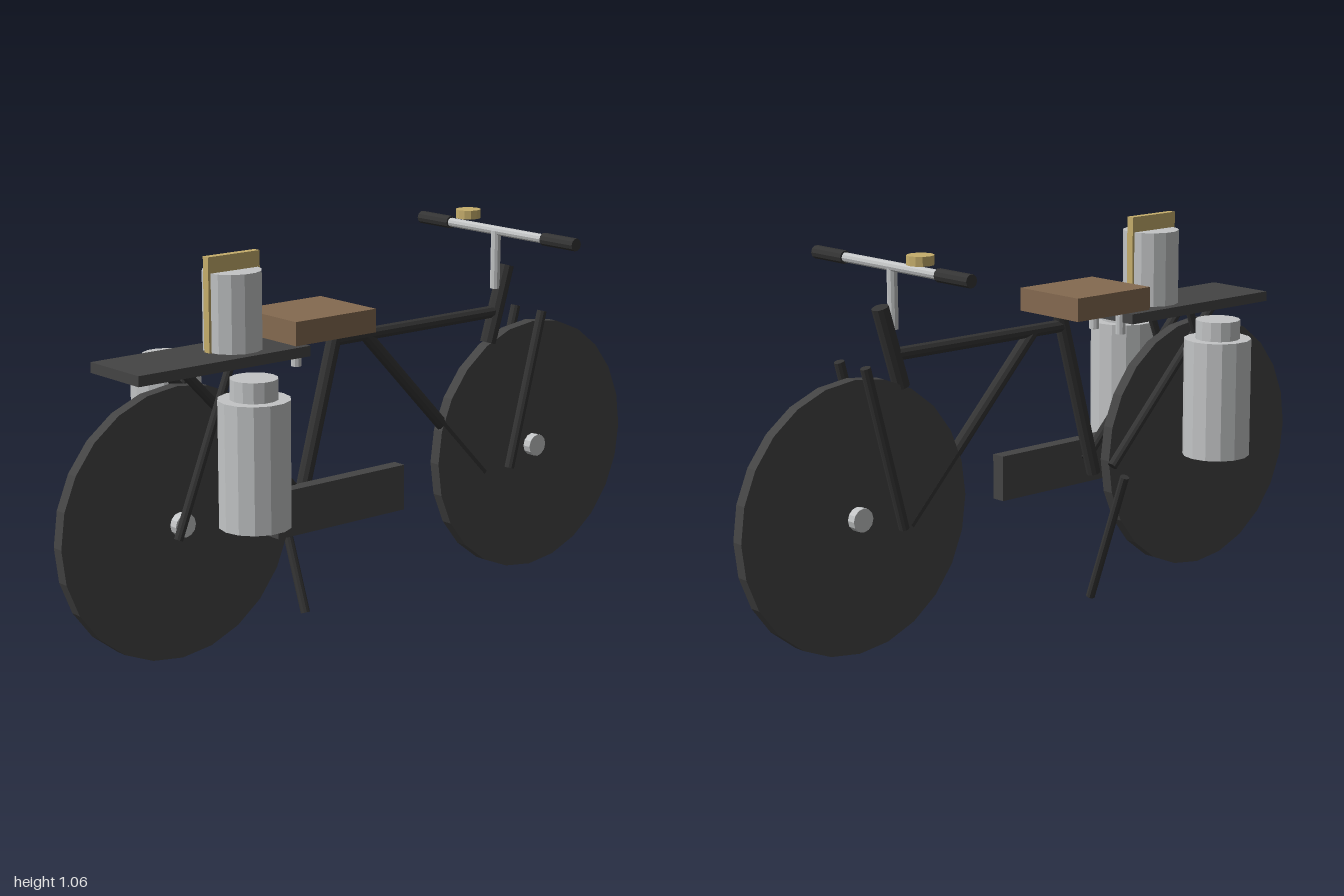
import * as THREE from 'three';

export function createModel() {
  const model = new THREE.Group();
  model.name = 'cargoBicycle';

  const material = (name, color) => {
    const m = new THREE.MeshStandardMaterial({ color, flatShading: true });
    m.name = name;
    return m;
  };
  const charcoal = material('charcoal', 0x444444);
  const frameBlack = material('frame black', 0x343434);
  const steel = material('steel', 0xc3c5c6);
  const leather = material('leather brown', 0x856a50);
  const brass = material('brass', 0xc6ae6c);

  const add = (name, geometry, mat) => {
    const mesh = new THREE.Mesh(geometry, mat);
    mesh.name = name;
    model.add(mesh);
    return mesh;
  };

  // Box given by its lower and upper corners
  const box = (name, lo, hi, mat) =>
    add(name, new THREE.BoxGeometry(hi[0] - lo[0], hi[1] - lo[1], hi[2] - lo[2]), mat)
      .position.set((lo[0] + hi[0]) / 2, (lo[1] + hi[1]) / 2, (lo[2] + hi[2]) / 2);

  // Straight round bar between two points
  const bar = (name, from, to, radius, mat, sides = 10) => {
    const a = new THREE.Vector3(...from);
    const b = new THREE.Vector3(...to);
    const mesh = add(name, new THREE.CylinderGeometry(radius, radius, a.distanceTo(b), sides), mat);
    mesh.position.copy(a).add(b).multiplyScalar(0.5);
    mesh.quaternion.setFromUnitVectors(new THREE.Vector3(0, 1, 0), b.sub(a).normalize());
  };

  // Solid wheels with protruding hubs
  for (const [name, z] of [['rear', 0.635], ['front', -0.632]]) {
    bar(name + 'Wheel', [-0.017, 0.373, z], [0.017, 0.373, z], 0.366, charcoal, 24);
    bar(name + 'Hub', [-0.042, 0.373, z], [0.042, 0.373, z], 0.032, steel, 12);
  }

  // Main frame tubes
  bar('topTube', [0, 0.783, 0.11], [0, 0.783, -0.49], 0.018, frameBlack);
  bar('seatTube', [0, 0.82, 0.093], [0, 0.345, 0.225], 0.02, frameBlack);
  bar('downTube', [0, 0.785, -0.005], [0, 0.318, -0.45], 0.018, frameBlack);
  bar('headTube', [0, 0.912, -0.535], [0, 0.695, -0.468], 0.023, frameBlack);

  // Paired fork blades, stays and saddle posts
  for (const [side, s] of [['left', 1], ['right', -1]]) {
    bar(side + 'ForkBlade', [s * 0.054, 0.775, -0.628], [s * 0.054, 0.33, -0.508], 0.014, frameBlack);
    bar(side + 'RearStay', [s * 0.084, 0.78, 0.52], [s * 0.084, 0.355, 0.69], 0.012, frameBlack);
    bar(side + 'DiagonalStay', [s * 0.055, 0.78, 0.64], [s * 0.055, 0.37, 0.245], 0.014, frameBlack);
    bar(side + 'SaddlePost', [s * 0.053, 0.745, 0.275], [s * 0.053, 0.82, 0.275], 0.014, steel);
  }

  // Handlebar, grips and bell
  bar('stem', [0, 0.85, -0.492], [0, 1.015, -0.494], 0.014, steel);
  bar('handlebar', [-0.2, 1.015, -0.496], [0.2, 1.015, -0.496], 0.013, steel);
  for (const [side, s] of [['left', 1], ['right', -1]]) {
    bar(side + 'Grip', [s * 0.19, 1.015, -0.496], [s * 0.315, 1.015, -0.496], 0.018, frameBlack);
  }
  bar('bell', [-0.127, 1.035, -0.504], [-0.127, 1.06, -0.504], 0.036, brass, 12);

  // Saddle, rear rack, chain case and kickstand
  box('saddle', [-0.116, 0.815, 0.053], [0.116, 0.879, 0.326], leather);
  box('rack', [-0.105, 0.779, 0.27], [0.105, 0.807, 0.817], charcoal);
  box('chainCase', [0.064, 0.3, -0.06], [0.104, 0.427, 0.38], charcoal);
  bar('kickstand', [-0.192, 0.38, 0.16], [-0.058, 0.008, 0.16], 0.013, frameBlack);

  // Canister on the rack with its brass strap
  bar('rackCanister', [0, 0.807, 0.444], [0, 1.015, 0.444], 0.079, steel, 14);
  box('canisterStrap', [-0.011, 0.807, 0.361], [0.011, 1.058, 0.528], brass);

  // Milk cans hung on both sides
  for (const [side, s] of [['left', 1], ['right', -1]]) {
    bar(side + 'MilkCan', [s * 0.19, 0.385, 0.523], [s * 0.19, 0.72, 0.523], 0.095, steel, 14);
    bar(side + 'MilkCanNeck', [s * 0.19, 0.72, 0.523], [s * 0.19, 0.774, 0.523], 0.063, steel, 14);
  }

  return model;
}
